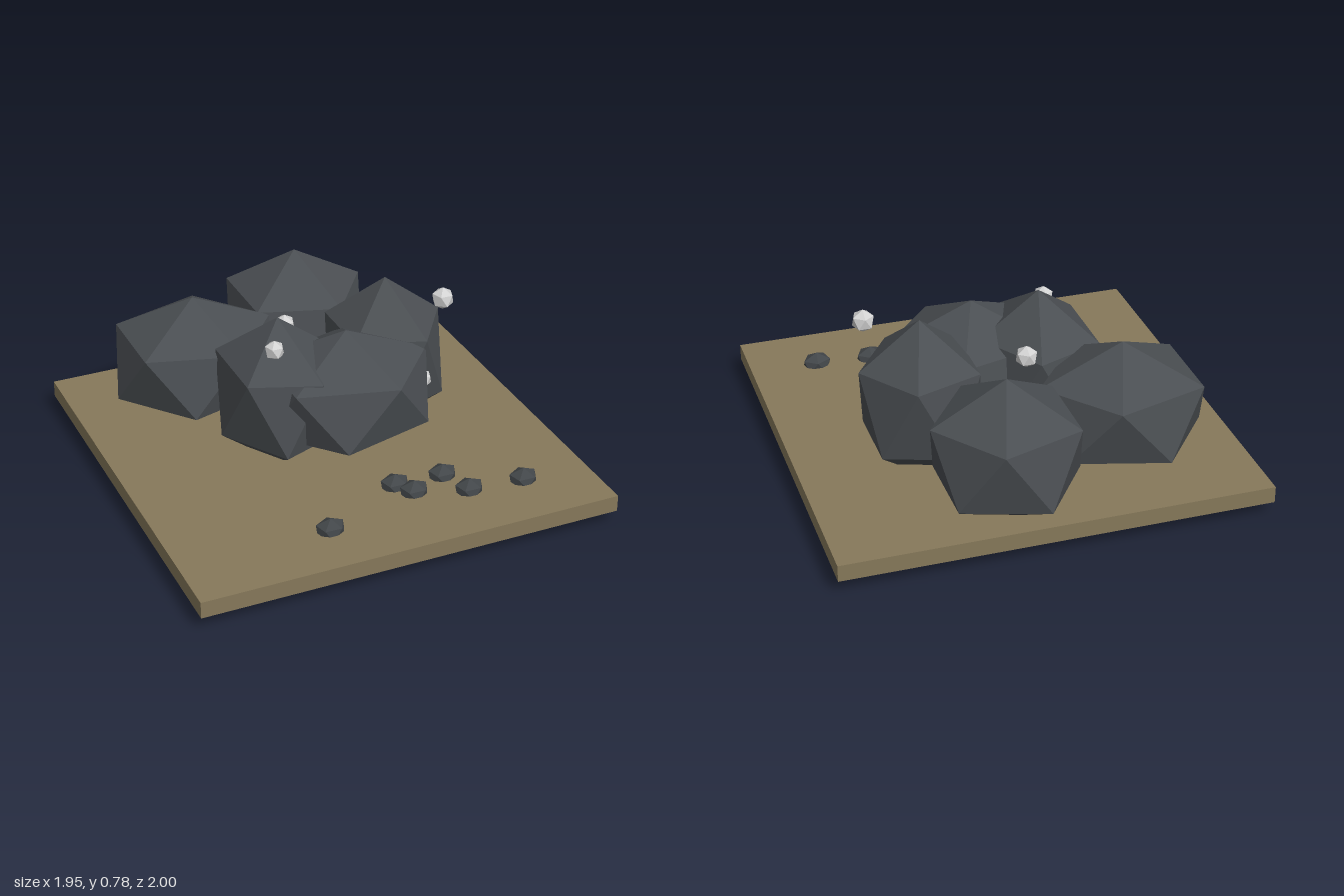
import * as THREE from 'three';

const material = (name, color) => {
  const m = new THREE.MeshStandardMaterial({ color, flatShading: true });
  m.name = name;
  return m;
};

// Icosahedron standing on a corner, with one upper ring corner towards +x
const stoneGeometry = new THREE.IcosahedronGeometry(1, 0);
stoneGeometry.rotateZ(-Math.atan(2 / (1 + Math.sqrt(5))));

function addStone(parent, name, mat, position, radii, yaw = 0) {
  const stone = new THREE.Mesh(stoneGeometry, mat);
  stone.name = name;
  stone.position.set(...position);
  stone.scale.set(...radii);
  stone.rotation.y = yaw;
  parent.add(stone);
}

export function createModel() {
  const group = new THREE.Group();
  group.name = 'rockPile';

  const earth = material('earth brown', 0x86785a);
  const rock = material('dark rock', 0x4a4e52);
  const pebbleGrey = material('pebble grey', 0x424649);
  const crystalWhite = material('pale crystal', 0xd2d2d2);

  // Ground slab
  const slab = new THREE.Mesh(new THREE.BoxGeometry(1.946, 0.077, 1.95), earth);
  slab.name = 'groundSlab';
  slab.position.set(0, 0.099, 0.025);
  group.add(slab);

  // Boulders: centre, radii
  const boulders = [
    [[0.165, 0.393, -0.687], [0.373, 0.338, 0.37]],
    [[-0.428, 0.393, -0.48], [0.421, 0.308, 0.38]],
    [[0.083, 0.393, 0.083], [0.447, 0.306, 0.37]],
    [[-0.195, 0.393, -0.034], [0.309, 0.373, 0.364]],
    [[0.393, 0.391, -0.17], [0.309, 0.389, 0.322]],
  ];
  boulders.forEach(([p, r], i) => addStone(group, `boulder${i + 1}`, rock, p, r));

  // Loose pebbles: x, z
  const pebbles = [
    [0.12, 0.53], [0.175, 0.61], [0.348, 0.54],
    [0.403, 0.692], [0.66, 0.712], [-0.28, 0.733],
  ];
  pebbles.forEach(([x, z], i) =>
    addStone(group, `pebble${i + 1}`, pebbleGrey, [x, 0.139, z], [0.074, 0.057, 0.063], 0.25));

  // Small crystals: centre, radius
  const crystals = [
    [[0.597, 0.717, 0.014], 0.054],
    [[-0.257, 0.672, 0.08], 0.047],
    [[-0.06, 0.58, -0.275], 0.052],
    [[0.466, 0.367, 0.088], 0.046],
  ];
  crystals.forEach(([p, r], i) =>
    addStone(group, `crystal${i + 1}`, crystalWhite, p, [r, r, r], Math.PI / 10));

  return group;
}
